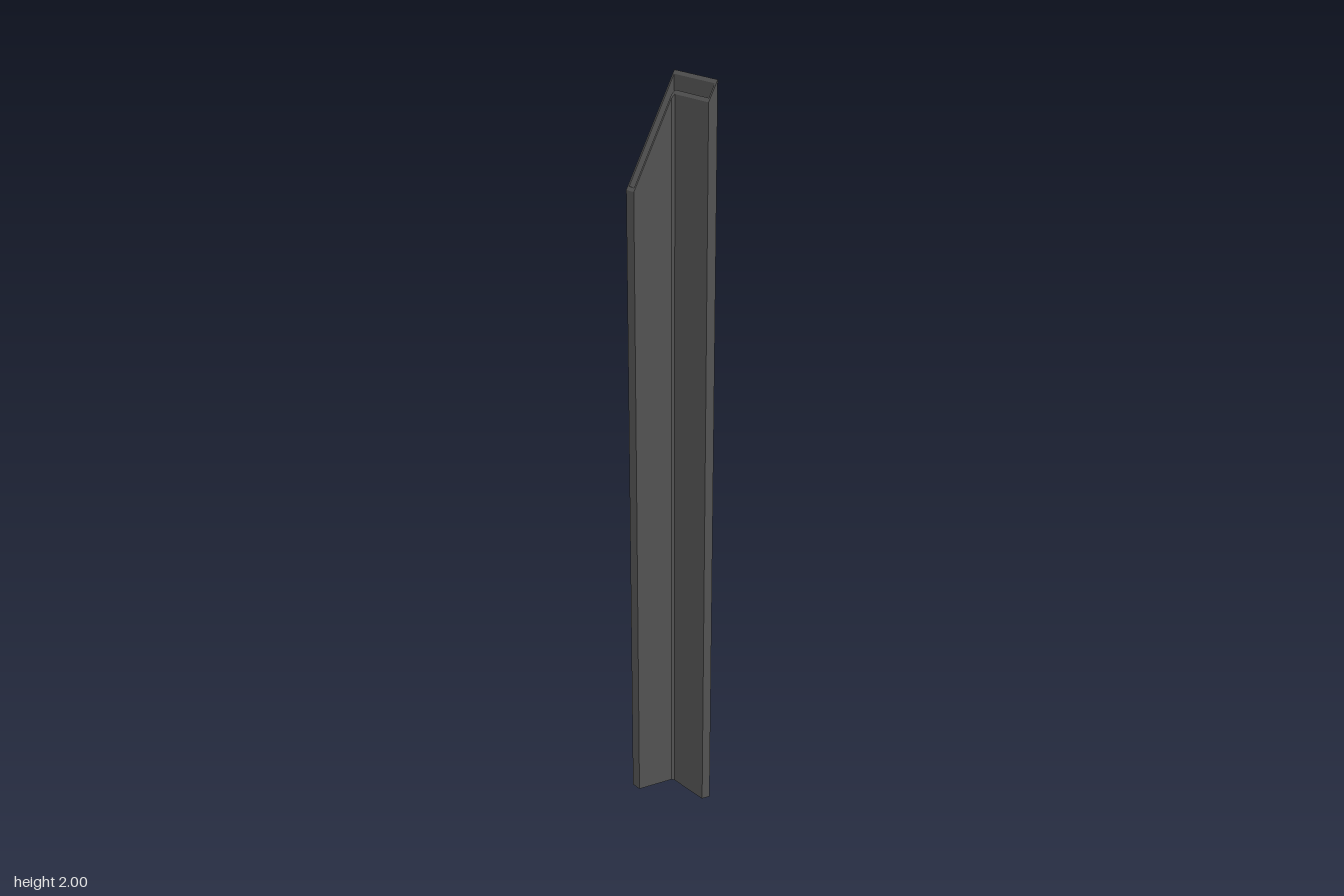
import * as THREE from 'three';

const R = 0.076;     // half the width of the angle section
const LEG = 0.028;   // thickness of each leg
const WALL = 0.005;  // wall of the hollow section
const CUT = 0.006;   // small bevel in the inner corner

// L-shaped outline, shrunk inwards by d (shape y becomes -z)
function outline(d) {
  const o = R - d, i = R - LEG + d;
  return [
    [-o, o], [-o, i], [i - CUT, i], [i, i - CUT], [i, -o], [o, -o], [o, o],
  ].map(([x, y]) => new THREE.Vector2(x, y));
}

export function createModel() {
  const group = new THREE.Group();
  group.name = 'angleTrim';

  // Hollow L section, open at both ends
  const shape = new THREE.Shape(outline(0));
  shape.holes.push(new THREE.Path(outline(WALL)));
  const geometry = new THREE.ExtrudeGeometry(shape, { depth: 1, bevelEnabled: false });
  geometry.rotateX(-Math.PI / 2);

  // Mitre both ends along x: steep at the top, shallow at the bottom
  const p = geometry.attributes.position;
  for (let k = 0; k < p.count; k++) {
    const t = (R - p.getX(k)) / (2 * R);
    p.setY(k, p.getY(k) > 0.5 ? 2 - 0.264 * t : 0.03 * t);
  }
  geometry.computeVertexNormals();

  const material = new THREE.MeshStandardMaterial({ color: 0x555555, side: THREE.DoubleSide });
  const profile = new THREE.Mesh(geometry, material);
  profile.name = 'mitredAngleProfile';
  group.add(profile);
  return group;
}
